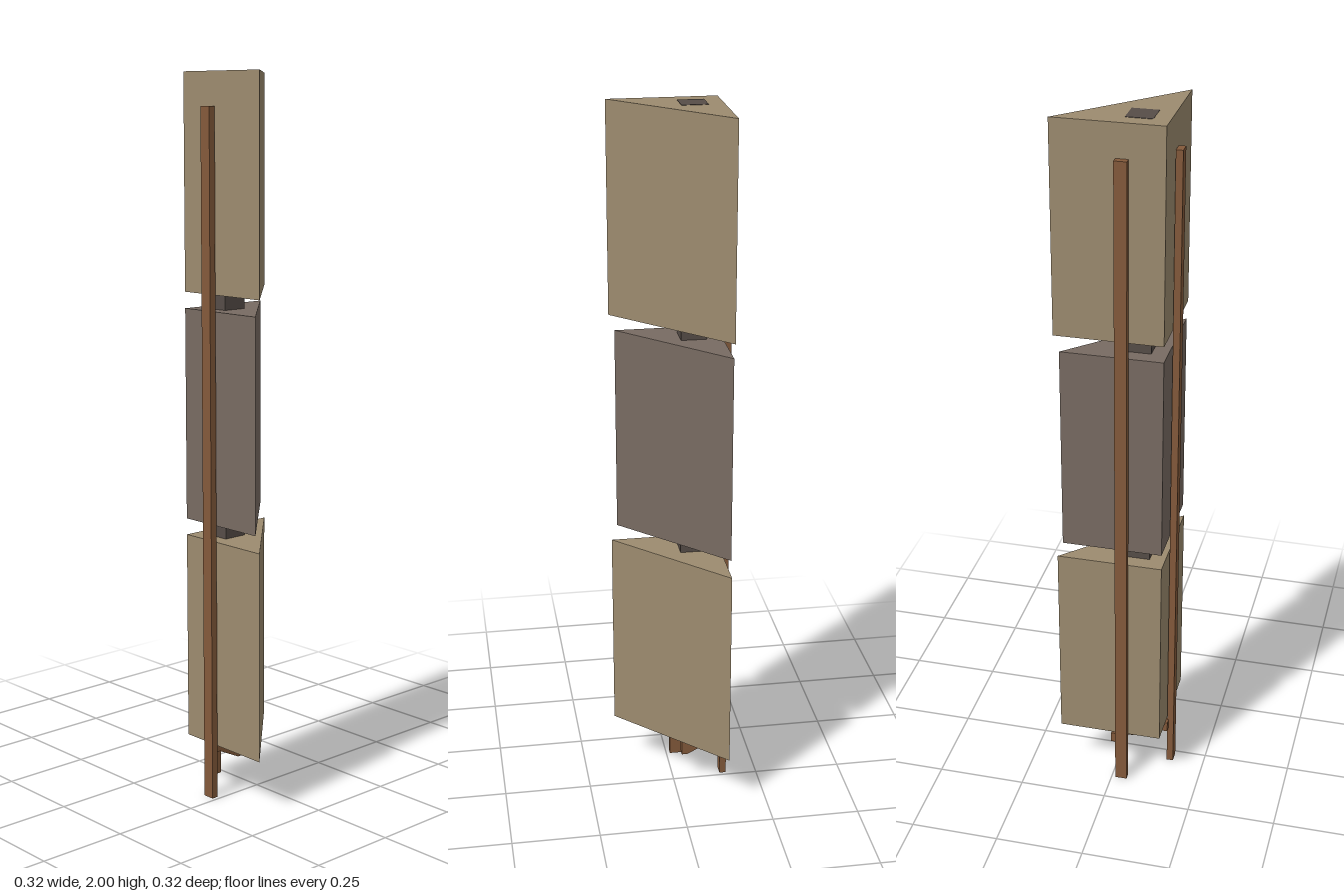
import * as THREE from 'three';

function material(name, color) {
  const m = new THREE.MeshStandardMaterial({ color });
  m.name = name;
  return m;
}

export function createModel() {
  const tan = material('tan', 0x9c8b6f);
  const greyBrown = material('greyBrown', 0x786b62);
  const darkBrown = material('darkBrown', 0x564d48);
  const wood = material('wood', 0x845a3b);
  const model = new THREE.Group();
  model.name = 'triangularColumn';

  function add(name, geometry, mat) {
    const mesh = new THREE.Mesh(geometry, mat);
    mesh.name = name;
    model.add(mesh);
    return mesh;
  }

  // Box given by its lower and upper corners
  function box(name, a, b, mat) {
    const g = new THREE.BoxGeometry(b[0] - a[0], b[1] - a[1], b[2] - a[2]);
    g.translate((a[0] + b[0]) / 2, (a[1] + b[1]) / 2, (a[2] + b[2]) / 2);
    return add(name, g, mat);
  }

  function extrude(points, depth) {
    const shape = new THREE.Shape(points.map(([x, y]) => new THREE.Vector2(x, y)));
    return new THREE.ExtrudeGeometry(shape, { depth, bevelEnabled: false });
  }

  // Right-angled triangular blocks, square corner at the back right
  const c = -0.138;
  function prism(name, leg, y0, y1, mat) {
    const g = extrude([[c, -c], [c, -c - leg], [c + leg, -c]], y1 - y0);
    g.rotateX(-Math.PI / 2).translate(0, y0, 0);
    return add(name, g, mat);
  }
  prism('lowerBlock', 0.296, 0.15, 0.737, tan);
  prism('middleBlock', 0.28, 0.783, 1.37, greyBrown);
  prism('upperBlock', 0.296, 1.415, 2, tan);

  // Square core joining the blocks, showing on top
  box('core', [-0.095, 0.152, -0.095], [-0.024, 2.001, -0.024], darkBrown);

  // Posts on the two square faces
  box('rightPost', [-0.16, 0, -0.045], [-0.141, 1.91, -0.011], wood);
  box('backPost', [-0.045, 0, -0.16], [-0.011, 1.91, -0.141], wood);

  // Sloping brackets beneath the lowest block
  const profile = [[-0.145, 0.15], [-0.145, 0.12], [-0.108, 0.12], [-0.04, 0.086], [-0.024, 0.086], [-0.024, 0.15]];
  add('rightBracket', extrude(profile, 0.026).translate(0, 0, -0.062), wood);
  const back = extrude(profile, 0.026);
  back.rotateY(-Math.PI / 2).translate(0.005, 0, 0);
  add('backBracket', back, wood);

  return model;
}
